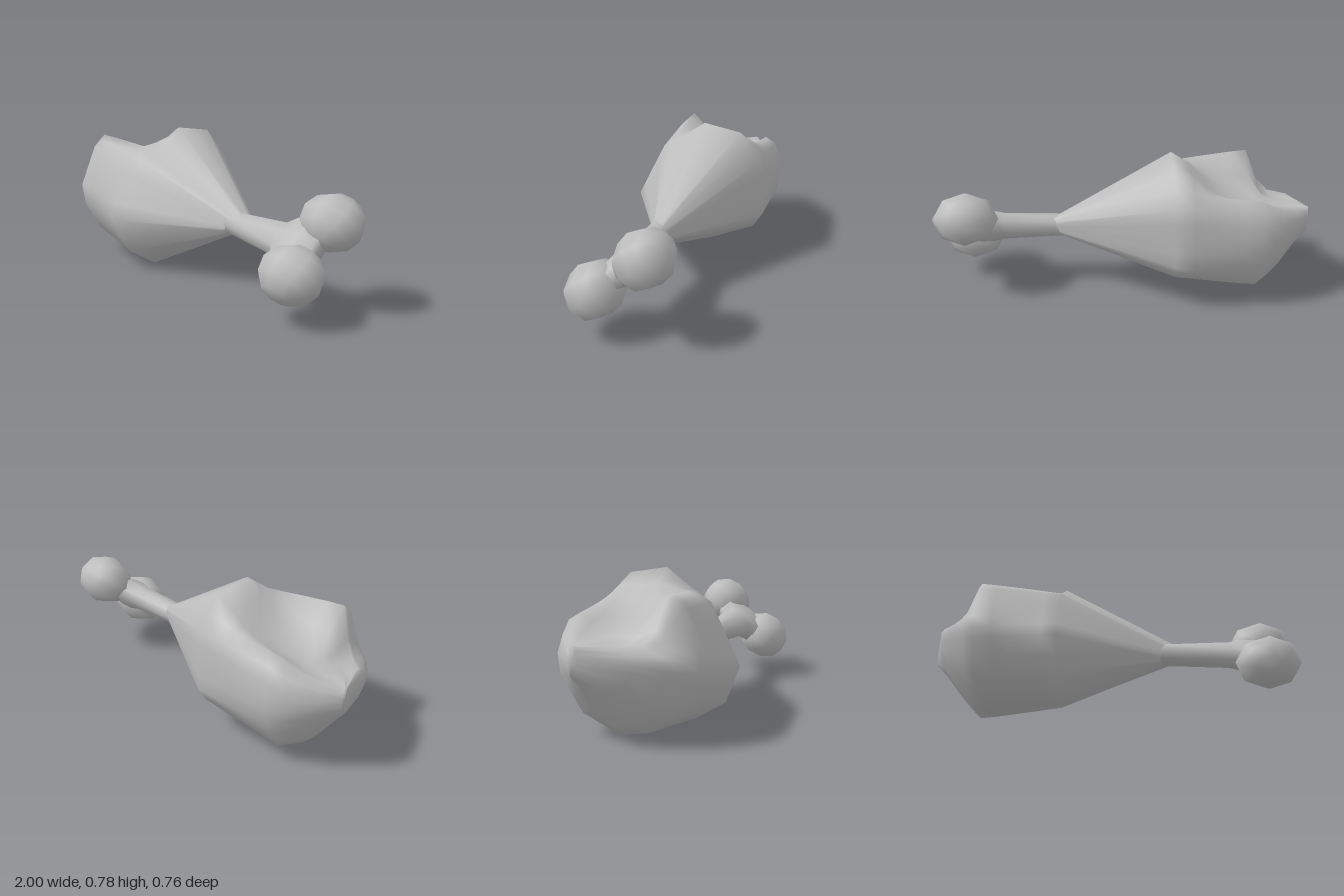
import * as THREE from 'three';

// Skin rings of [x, y, z] points, ordered from +x to -x, with both ends closed
function loft(rings) {
  const n = rings[0].length, pos = rings.flat(2), index = [];
  for (let r = 0; r < rings.length - 1; r++) {
    for (let i = 0; i < n; i++) {
      const a = r * n + i, b = r * n + (i + 1) % n;
      index.push(a, b, b + n, a, b + n, a + n);
    }
  }
  const last = (rings.length - 1) * n, count = rings.length * n;
  [rings[0], rings.at(-1)].forEach((ring) => {
    for (let k = 0; k < 3; k++) pos.push(ring.reduce((s, p) => s + p[k], 0) / n);
  });
  for (let i = 0; i < n; i++) {
    const j = (i + 1) % n;
    index.push(count, j, i, count + 1, last + i, last + j);
  }
  const geo = new THREE.BufferGeometry();
  geo.setAttribute('position', new THREE.Float32BufferAttribute(pos, 3));
  geo.setIndex(index);
  geo.computeVertexNormals();
  return geo;
}

// Halve each side of a [z, y] section so the bite has enough points
const halve = (section) => section.flatMap((p, i) => {
  const q = section[(i + 1) % section.length];
  return [p, [(p[0] + q[0]) / 2, (p[1] + q[1]) / 2]];
});

function meatGeometry() {
  // Uneven cross-sections as [z, y]: near the bone, and near the thick end
  const nearBone = halve([
    [0.14, 0], [0.305, 0.105], [0.38, 0.3], [0.3, 0.46], [0.22, 0.615], [0.13, 0.67], [-0.03, 0.78],
    [-0.24, 0.745], [-0.36, 0.59], [-0.375, 0.43], [-0.38, 0.27], [-0.33, 0.19], [-0.1, 0.085],
  ]);
  const thickEnd = halve([
    [0.08, 0.04], [0.24, 0.14], [0.33, 0.3], [0.35, 0.42], [0.255, 0.64], [0.185, 0.705], [-0.03, 0.75],
    [-0.22, 0.72], [-0.34, 0.56], [-0.38, 0.42], [-0.365, 0.27], [-0.27, 0.095], [-0.07, 0.01],
  ]);
  // How strongly each section point follows the bite in the top and the notch in the front rim
  const biteWeight = { 11: 0.6, 12: 1, 13: 1, 14: 0.75, 15: 0.2 };
  const notchWeight = { 7: 0.4, 8: 0.85, 9: 1, 10: 1, 11: 0.6 };
  // x, blend of sections, scale y, scale z, centre y, centre z, slant, bite depth, notch depth
  const stations = [
    [0.3, 0, 0.165, 0.165, 0.34, 0.02, 0.6, 0, 0],
    [-0.28, 0, 1, 1, 0.39, 0, 0.02, 0, 0],
    [-0.37, 0.2, 1, 1, 0.39, 0, 0, 0.06, 0],
    [-0.45, 0.4, 1, 1, 0.39, 0, 0, 0.13, 0],
    [-0.54, 0.6, 1, 1, 0.39, 0, 0, 0.18, 0],
    [-0.63, 0.8, 1, 1, 0.39, 0, 0, 0.21, 0],
    [-0.72, 1, 0.99, 1, 0.39, 0, 0, 0.22, 0],
    [-0.78, 1, 0.82, 0.9, 0.39, -0.015, 0, 0.17, 0.1],
    [-0.84, 1, 0.66, 0.79, 0.4, -0.03, 0, 0.13, 0.12],
    [-0.93, 1, 0.39, 0.52, 0.42, -0.055, 0, 0.06, 0.05],
    [-1, 1, 0.2, 0.07, 0.43, -0.15, 0, 0, 0],
  ];
  return loft(stations.map(([x, blend, sy, sz, cy, cz, slant, bite, notch]) => nearBone.map(([z, y], i) => {
    const [z2, y2] = thickEnd[i];
    const dy = (THREE.MathUtils.lerp(y, y2, blend) - 0.39) * sy;
    const dz = THREE.MathUtils.lerp(z, z2, blend) * sz;
    const dip = bite * (biteWeight[i] ?? 0) + notch * (notchWeight[i] ?? 0);
    return [x + (dy - dz) * slant, cy + dy - dip, cz + dz];
  })));
}

function boneGeometry() {
  // x, half length along the knob line, half thickness across it
  const stations = [
    [0.86, 0.1, 0.05], [0.77, 0.19, 0.085], [0.69, 0.17, 0.085], [0.63, 0.1, 0.072], [0.24, 0.06, 0.06],
  ];
  return loft(stations.map(([x, a, b]) => Array.from({ length: 8 }, (_, i) => {
    const t = i / 8 * Math.PI * 2, u = a * Math.cos(t), v = -b * Math.sin(t);
    return [x, 0.345 + 0.6 * u + 0.8 * v, 0.02 - 0.8 * u + 0.6 * v];
  })));
}

export function createModel() {
  const model = new THREE.Group();
  model.name = 'drumstick';
  const grey = new THREE.MeshStandardMaterial({ color: 0xbcbcbc });
  grey.name = 'grey';
  const add = (name, geo) => {
    const mesh = new THREE.Mesh(geo, grey);
    mesh.name = name;
    model.add(mesh);
    return mesh;
  };

  add('meat', meatGeometry());
  add('boneShaft', boneGeometry());

  // Two rounded knobs at the end of the bone, stretched along the line that joins them
  [['lowerKnob', 0.815, 0.244, 0.148], ['upperKnob', 0.825, 0.452, -0.112]].forEach(([name, x, y, z]) => {
    const geo = new THREE.SphereGeometry(0.142, 8, 6);
    geo.scale(1.23, 1.05, 1);
    geo.rotateX(-Math.atan2(0.8, 0.6));
    add(name, geo).position.set(x, y, z);
  });
  return model;
}
